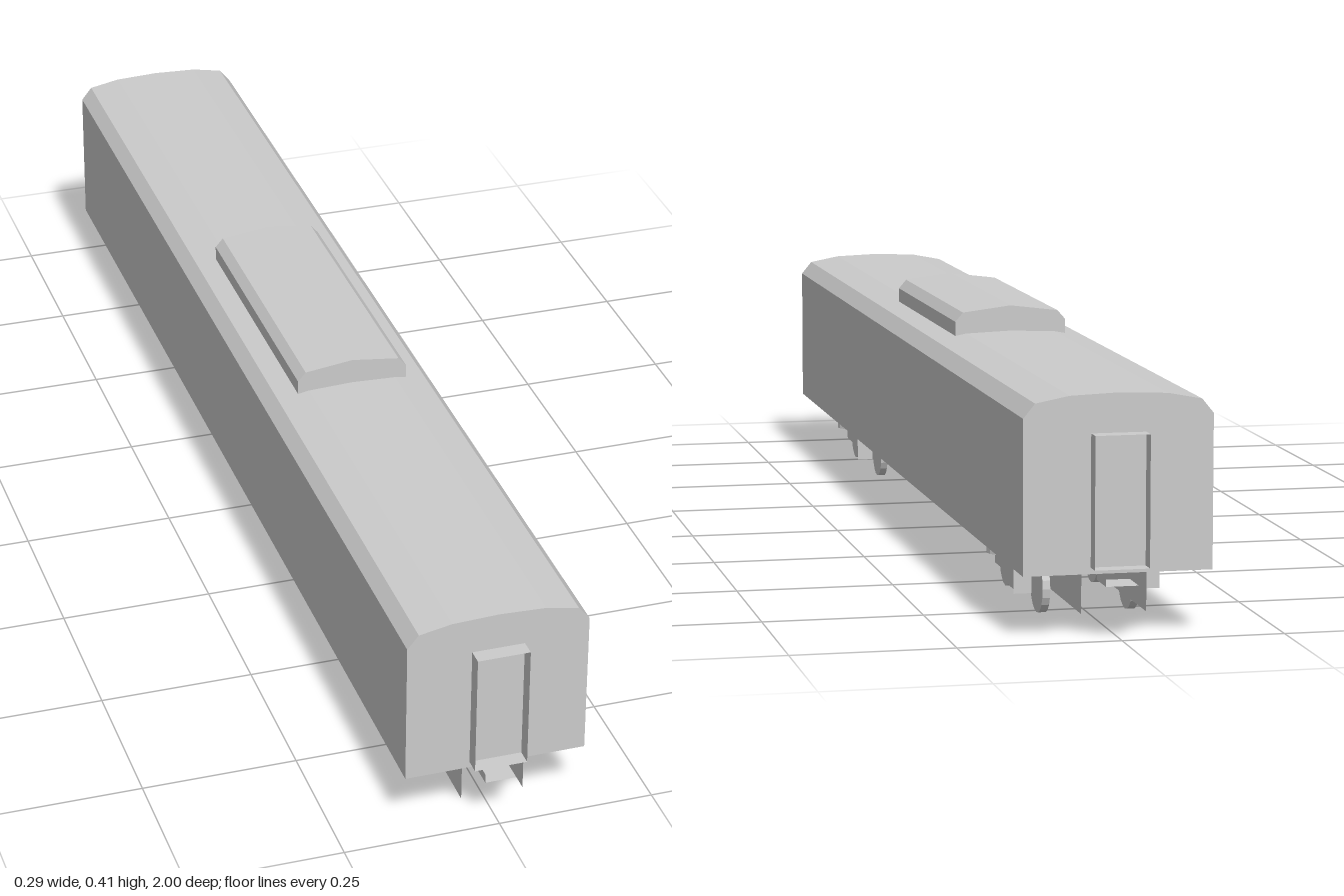
import * as THREE from 'three';

const solid = new THREE.MeshStandardMaterial({ color: 0xcccccc, flatShading: true });
const thin = new THREE.MeshStandardMaterial({ color: 0xcccccc, flatShading: true, side: THREE.DoubleSide });

function add(parent, name, geometry, material, x = 0, y = 0, z = 0) {
  const mesh = new THREE.Mesh(geometry, material);
  mesh.name = name;
  mesh.position.set(x, y, z);
  parent.add(mesh);
  return mesh;
}

// Extrudes a symmetric section, given by its right half from bottom to ridge, along z.
function hull(half, z0, z1) {
  const mirrored = half.filter(([x]) => x > 0).reverse().map(([x, y]) => [-x, y]);
  const shape = new THREE.Shape([...half, ...mirrored].map(([x, y]) => new THREE.Vector2(x, y)));
  return new THREE.ExtrudeGeometry(shape, { depth: z1 - z0, bevelEnabled: false }).translate(0, 0, z0);
}

// Thin sheets: upright facing sideways, upright facing the ends, and level.
function sideSheet(parent, name, x, y0, y1, z0, z1) {
  const g = new THREE.PlaneGeometry(z1 - z0, y1 - y0).rotateY(Math.PI / 2);
  return add(parent, name, g, thin, x, (y0 + y1) / 2, (z0 + z1) / 2);
}
function crossSheet(parent, name, x0, x1, y0, y1, z) {
  return add(parent, name, new THREE.PlaneGeometry(x1 - x0, y1 - y0), thin, (x0 + x1) / 2, (y0 + y1) / 2, z);
}
function levelSheet(parent, name, x0, x1, y, z0, z1) {
  const g = new THREE.PlaneGeometry(x1 - x0, z1 - z0).rotateX(-Math.PI / 2);
  return add(parent, name, g, thin, (x0 + x1) / 2, y, (z0 + z1) / 2);
}

// Bogie with four wheels, two side frames, end brackets and round mounts
function createBogie(name) {
  const bogie = new THREE.Group();
  bogie.name = name;
  for (const s of [1, -1]) {
    for (const z of [0.11, -0.11]) {
      const wheel = new THREE.CylinderGeometry(0.043, 0.043, 0.012, 20).rotateZ(Math.PI / 2);
      add(bogie, 'wheel', wheel, solid, s * 0.07, 0.043, z);
    }
    sideSheet(bogie, 'sideFrame', s * 0.087, 0.033, 0.083, -0.132, 0.135);
    crossSheet(bogie, 'frameBracket', Math.min(s * 0.087, s * 0.115), Math.max(s * 0.087, s * 0.115), 0.033, 0.097, -0.125);
    add(bogie, 'roundMount', new THREE.CylinderGeometry(0.03, 0.03, 0.022, 16, 1, true), thin, s * 0.1, 0.086, 0);
  }
  return bogie;
}

// Open gangway frame and coupler housing at one end
function createEnd(name, s) {
  const end = new THREE.Group();
  end.name = name;
  const [z0, z1] = s > 0 ? [0.974, 1] : [-1, -0.974];
  const [c0, c1] = s > 0 ? [0.945, 1] : [-1, -0.945];
  for (const side of [1, -1]) {
    sideSheet(end, 'gangwaySide', side * 0.042, 0.107, 0.308, z0, z1);
    sideSheet(end, 'couplerSide', side * 0.025, 0.082, 0.097, c0, c1);
  }
  levelSheet(end, 'gangwayTop', -0.042, 0.042, 0.308, z0, z1);
  levelSheet(end, 'gangwayStep', -0.042, 0.042, 0.107, z0, z1);
  levelSheet(end, 'couplerPlate', -0.025, 0.025, 0.082, c0, c1);
  return end;
}

export function createModel() {
  const car = new THREE.Group();
  car.name = 'railwayCarriage';

  // Body with chamfered roof
  add(car, 'body', hull([[0.145, 0.097], [0.145, 0.333], [0.127, 0.355], [0.075, 0.365], [0, 0.368]], -0.974, 0.974), solid);

  // Raised roof unit
  add(car, 'roofUnit', hull([[0.093, 0.35], [0.093, 0.385], [0.08, 0.4], [0, 0.41]], -0.237, 0.251), solid);

  // Long underframe sheets
  for (const s of [1, -1]) sideSheet(car, 'underframeSheet', s * 0.05, 0.032, 0.097, -0.948, 0.963);

  const front = createBogie('frontBogie');
  front.position.z = 0.669;
  const back = createBogie('backBogie');
  back.position.z = -0.653;
  // Outer hangers on the back bogie only
  for (const s of [1, -1]) sideSheet(back, 'hanger', s * 0.115, 0.04, 0.097, -0.125, -0.09);
  car.add(front, back);

  car.add(createEnd('frontEnd', 1), createEnd('backEnd', -1));
  return car;
}
